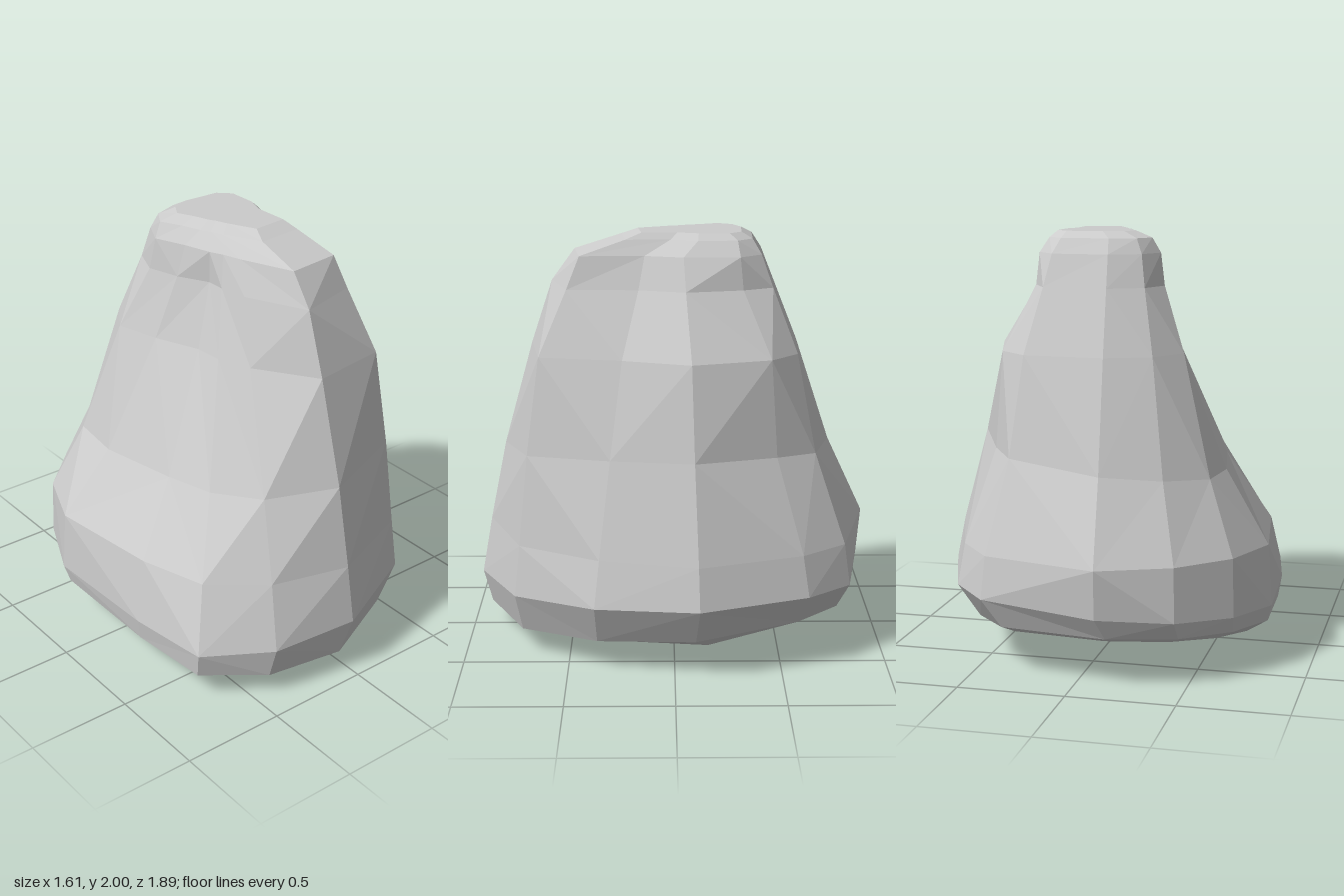
import * as THREE from 'three';

// Directions of the rock's main corners, in degrees from the front round by the left
const ANGLES = [0, 31, 62, 98, 135, 152, 187, 209, 229, 250, 291, 314, 335];

// One outline, given by its reach towards each corner; it may rise along x and z
const outline = (y, radii, riseX = 0, riseZ = 0) => radii.map((r, k) => {
  const a = THREE.MathUtils.degToRad(ANGLES[k]);
  const x = Math.sin(a) * r;
  const z = Math.cos(a) * r;
  return new THREE.Vector3(x, y + riseX * x + riseZ * z, z);
});

// A copy of an outline, drawn in along x and z, shifted, and set to a new height
const drawnIn = (points, sx, ox, sz, oz, height) => points.map((p) => {
  const x = p.x * sx + ox;
  const z = p.z * sz + oz;
  return new THREE.Vector3(x, height(x, z), z);
});

const centreOf = (points) => points
  .reduce((sum, p) => sum.add(p), new THREE.Vector3())
  .divideScalar(points.length);

function buildRock() {
  const foot = outline(0.31, [.95, .88, .79, .81, .88, .94, .93, .93, .90, .86, .83, .99, .98], .06, -.03);
  const brow = outline(1.9, [.47, .51, .29, .31, .43, .46, .42, .40, .34, .21, .17, .18, .24]);
  // underside: a plane rising to the back, bent up to both sides of its lowest point
  const underside = (x, z) => Math.max(0, .1 - .135 * z + .3 * Math.max(0, z) * Math.abs(x + .05));
  const rings = [
    drawnIn(foot, .8, -.05, .84, -.06, underside),
    drawnIn(foot, .92, -.045, .95, .01, (x, z) => .17 - .07 * z),
    // broad foot narrowing to a crest that runs front to back
    foot,
    outline(0.56, [.90, .85, .74, .77, .84, .91, .95, .92, .89, .84, .77, .86, .88]),
    outline(0.95, [.82, .80, .63, .65, .67, .75, .77, .75, .72, .61, .54, .62, .72], .1),
    outline(1.45, [.68, .73, .51, .56, .63, .65, .60, .58, .52, .36, .27, .34, .44]),
    outline(1.75, [.58, .58, .35, .38, .45, .52, .48, .45, .37, .25, .17, .22, .32]),
    brow,
    // bevelled top
    drawnIn(brow, .85, 0, .7, -.08, () => 1.97),
    drawnIn(brow, .65, .03, .55, -.09, () => 2),
  ];

  const corners = [];
  const face = (...points) => points.forEach((p) => corners.push(p.x, p.y, p.z));
  // distance from the upright axis to the middle of a diagonal
  const reach = (p, q) => Math.hypot(p.x + q.x, p.z + q.z);
  const sides = ANGLES.length;

  // sides: each quad is split along its outer diagonal, like chipped stone
  for (let i = 0; i < rings.length - 1; i++) {
    for (let k = 0; k < sides; k++) {
      const n = (k + 1) % sides;
      const a = rings[i][k], b = rings[i][n], c = rings[i + 1][n], d = rings[i + 1][k];
      if (reach(a, c) > reach(b, d)) {
        face(a, b, c);
        face(a, c, d);
      } else {
        face(a, b, d);
        face(b, c, d);
      }
    }
  }

  // closing faces of the underside and top
  const bottom = rings[0], top = rings[rings.length - 1];
  const low = centreOf(bottom), high = centreOf(top);
  for (let k = 0; k < sides; k++) {
    const n = (k + 1) % sides;
    face(bottom[n], bottom[k], low);
    face(top[k], top[n], high);
  }

  const geometry = new THREE.BufferGeometry();
  geometry.setAttribute('position', new THREE.Float32BufferAttribute(corners, 3));
  geometry.computeVertexNormals();
  return geometry;
}

export function createModel() {
  const model = new THREE.Group();
  model.name = 'boulder';
  const material = new THREE.MeshStandardMaterial({ color: 0xcccccc, flatShading: true });
  const rock = new THREE.Mesh(buildRock(), material);
  rock.name = 'rock';
  model.add(rock);
  return model;
}
